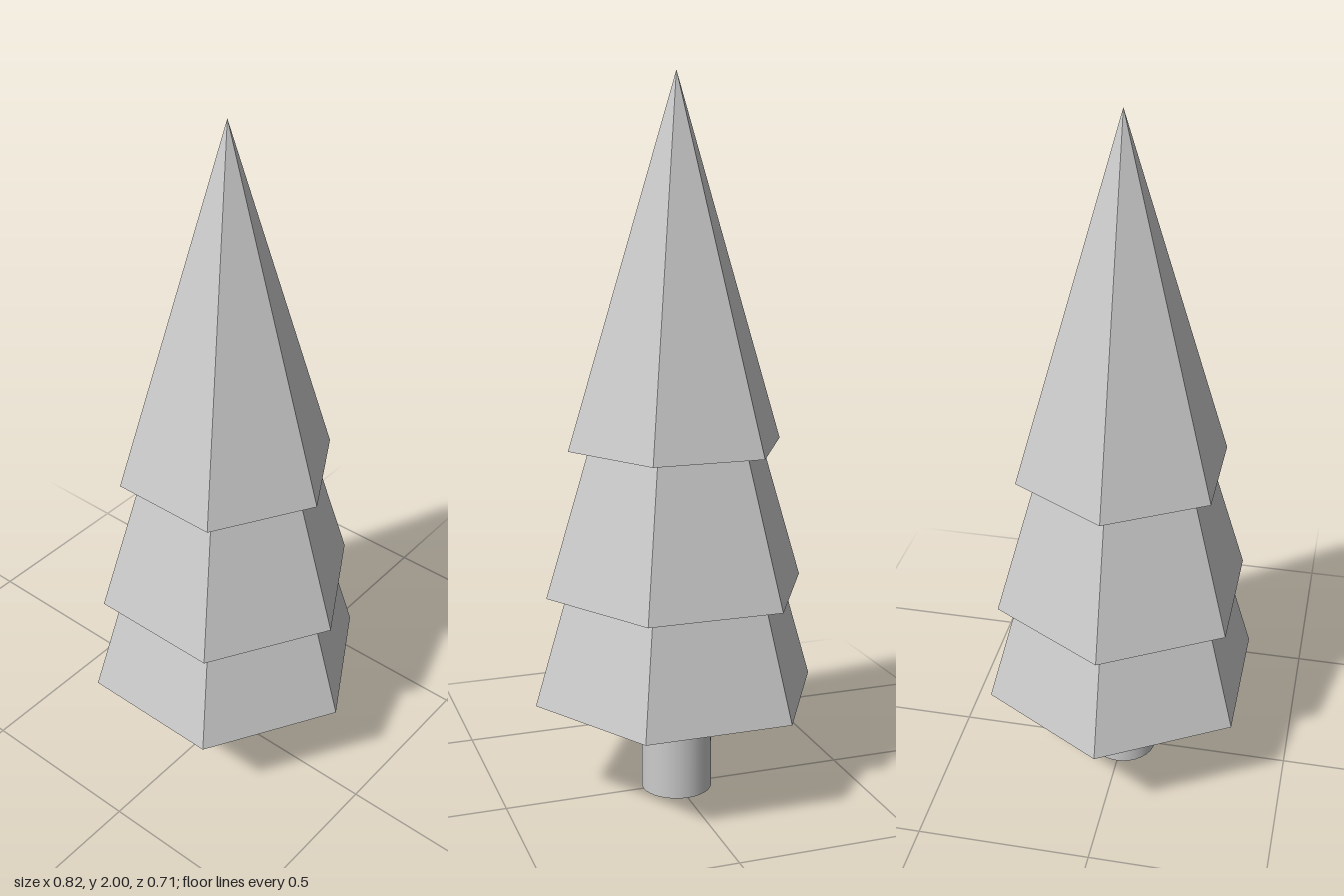
import * as THREE from 'three';

export function createModel() {
  const group = new THREE.Group();
  group.name = 'pineTree';

  const foliage = new THREE.MeshStandardMaterial({ color: 0xcccccc, flatShading: true });
  const bark = new THREE.MeshStandardMaterial({ color: 0xcccccc });

  // Overlapping six-sided cones, corners pointing along x
  const tiers = [
    { name: 'lowerBranches', radius: 0.41, base: 0.29, tip: 1.67 },
    { name: 'middleBranches', radius: 0.375, base: 0.595, tip: 1.82 },
    { name: 'upperBranches', radius: 0.308, base: 1.0, tip: 2.0 },
  ];
  for (const { name, radius, base, tip } of tiers) {
    const height = tip - base;
    const geometry = new THREE.ConeGeometry(radius, height, 6);
    geometry.rotateY(Math.PI / 6);
    const tier = new THREE.Mesh(geometry, foliage);
    tier.name = name;
    tier.position.y = base + height / 2;
    group.add(tier);
  }

  // Smooth round trunk, ending just below the branches
  const trunkHeight = 0.27;
  const trunk = new THREE.Mesh(new THREE.CylinderGeometry(0.1, 0.1, trunkHeight, 32), bark);
  trunk.name = 'trunk';
  trunk.position.y = trunkHeight / 2;
  group.add(trunk);

  return group;
}
